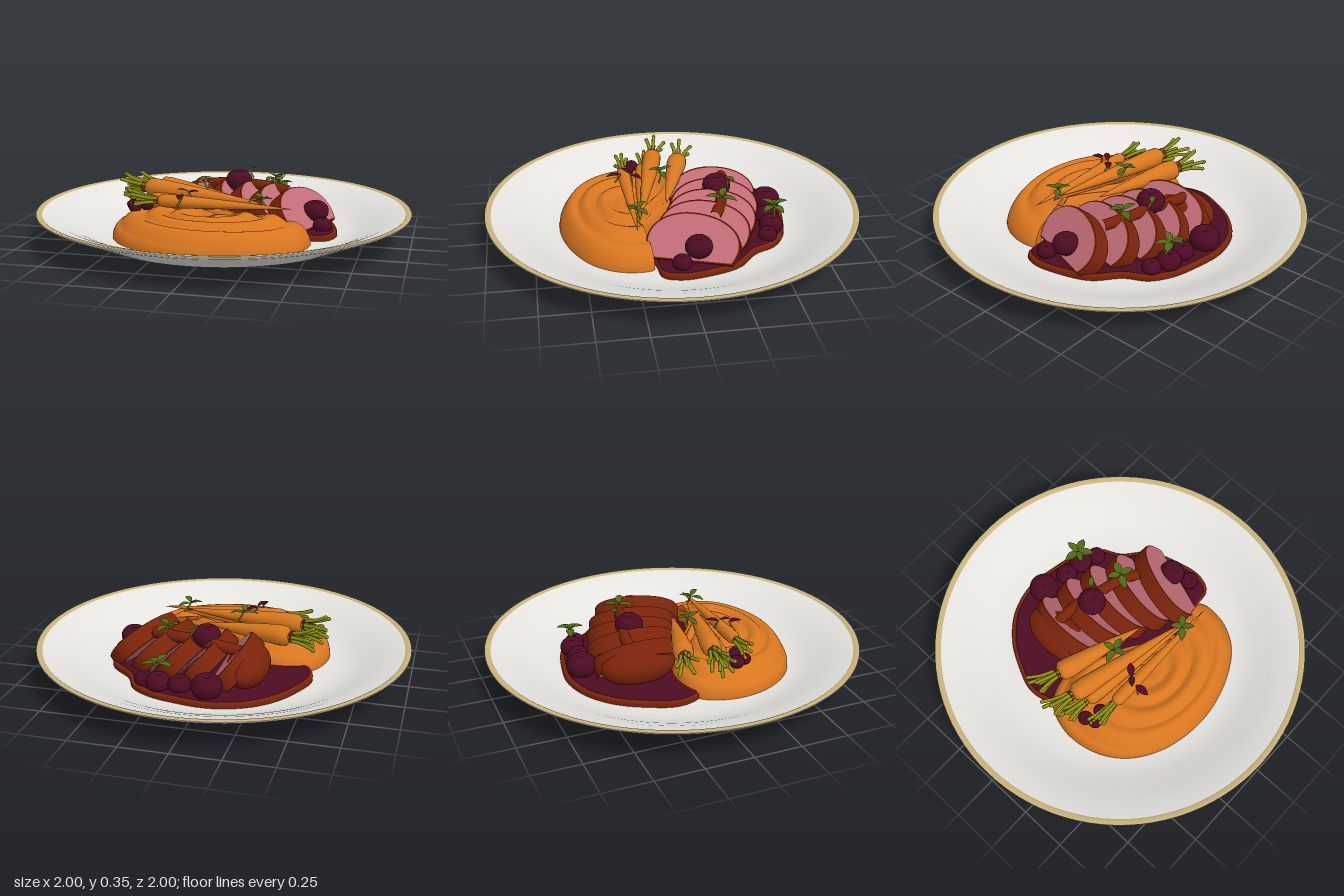
import * as THREE from 'three';

const mat = (name, color, side = THREE.FrontSide) => {
  const m = new THREE.MeshStandardMaterial({ color, side });
  m.name = name;
  return m;
};
const M = {
  china: mat('china white', 0xe6e4e1),
  gold: mat('rim gold', 0xc9b47c),
  puree: mat('puree orange', 0xd97620),
  carrot: mat('carrot orange', 0xd8781f),
  crust: mat('crust brown', 0x7a230a),
  pink: mat('meat pink', 0xc46e78),
  wine: mat('wine red', 0x4c0b22, THREE.DoubleSide),
  leaf: mat('leaf green', 0x4f6a17, THREE.DoubleSide),
  stalk: mat('stalk olive', 0x8f9013),
};
const UP = new THREE.Vector3(0, 1, 0);
const V = (x, y, z) => new THREE.Vector3(x, y, z);

function add(parent, name, geometry, material, x = 0, y = 0, z = 0) {
  const mesh = new THREE.Mesh(geometry, material);
  mesh.name = name;
  mesh.position.set(x, y, z);
  parent.add(mesh);
  return mesh;
}
const lathe = (pts, sides) =>
  new THREE.LatheGeometry(pts.map(([x, y]) => new THREE.Vector2(x, y)), sides);
const loop = (pts) =>
  new THREE.CatmullRomCurve3(pts.map(([x, z]) => V(x, 0, z)), true).getSpacedPoints(120);

// Soft mound: rings shrink from the outline to the centre, with swirled ridges
function moundGeometry(outline, cx, cz, base, height) {
  const edge = loop(outline), n = edge.length, rings = 44, pos = [], idx = [];
  for (let i = 0; i <= rings; i++) {
    const p = Math.sin((i / rings) * Math.PI / 2);
    for (let j = 0; j < n; j++) {
      const turn = (j / (n - 1)) * Math.PI * 2;
      const ridge = Math.abs(Math.sin(p * 12 + turn / 2)) * 0.03 * Math.min(1, p * 3);
      const dome = Math.sqrt(Math.max(0, 1 - p ** 5));
      pos.push(cx + (edge[j].x - cx) * p, base + (height + ridge) * dome, cz + (edge[j].z - cz) * p);
      if (i < rings && j < n - 1) {
        const a = i * n + j;
        idx.push(a, a + 1, a + n, a + 1, a + n + 1, a + n);
      }
    }
  }
  const g = new THREE.BufferGeometry();
  g.setAttribute('position', new THREE.Float32BufferAttribute(pos, 3));
  g.setIndex(idx);
  g.computeVertexNormals();
  return g;
}

// Flat pool with a rounded edge
function poolGeometry(outline, grow, depth) {
  const pts = loop(outline).map((p) => new THREE.Vector2(p.x * grow, -p.z * grow));
  const g = new THREE.ExtrudeGeometry(new THREE.Shape(pts), {
    depth, bevelSize: 0.012, bevelThickness: 0.012, bevelOffset: -0.012, bevelSegments: 3,
  });
  return g.rotateX(-Math.PI / 2);
}

// Leaning slice: pink cut faces, brown skin
function sliceGeometry(h, thick, lean) {
  const s = new THREE.Shape();
  s.moveTo(-0.2, 0);
  s.bezierCurveTo(-0.28, 0.1, -0.2, h, -0.02, h);
  s.bezierCurveTo(0.16, h, 0.29, 0.13, 0.2, 0);
  const g = new THREE.ExtrudeGeometry(s, {
    depth: thick, curveSegments: 18, bevelSize: 0.01, bevelThickness: 0.01, bevelSegments: 2,
  });
  return g.rotateY(Math.PI / 2).rotateZ(lean);
}

function cherry(parent, x, y, z, r) {
  const pts = [];
  for (let i = 0; i <= 20; i++) {
    const t = Math.PI * (1 - i / 20), w = Math.sin(t);
    const dimple = t < Math.PI / 2 ? 0.3 * Math.exp(-((w / 0.28) ** 2)) : 0;
    pts.push([Math.max(0, w * r), r * (Math.cos(t) * 0.85 - dimple)]);
  }
  return add(parent, 'cherry', lathe(pts, 24), M.wine, x, y, z);
}

// Carrot from crown to tip, with a bunch of cut stalks
function carrot(parent, from, to, r) {
  const g = new THREE.Group();
  g.name = 'carrot';
  const L = from.distanceTo(to);
  add(g, 'carrotRoot', lathe([[0, 0], [0.6 * r, 0.005], [0.95 * r, 0.04 * L], [r, 0.12 * L], [0.82 * r, 0.35 * L],
    [0.5 * r, 0.65 * L], [0.2 * r, 0.88 * L], [0, L]], 16), M.carrot);
  add(g, 'carrotCrown', new THREE.CylinderGeometry(0.4 * r, 0.62 * r, 0.02, 12), M.crust, 0, -0.005, 0);
  for (let i = 0; i < 6; i++) {
    const a = i * 2.4, s = i ? 0.35 * r : 0, len = 0.11 + 0.02 * (i % 3);
    const tip = V(Math.cos(a) * s * 3, -len, Math.sin(a) * s * 3);
    const path = new THREE.CatmullRomCurve3([V(Math.cos(a) * s, 0, Math.sin(a) * s), tip.clone().multiplyScalar(0.6), tip]);
    add(g, 'carrotStalk', new THREE.TubeGeometry(path, 6, 0.010, 6), M.stalk);
    add(g, 'stalkEnd', new THREE.SphereGeometry(0.0115, 6, 5), M.stalk, tip.x, tip.y, tip.z);
  }
  g.position.copy(from);
  g.quaternion.setFromUnitVectors(UP, to.clone().sub(from).normalize());
  parent.add(g);
}

// Pointed leaf along +x, cupped along its length
function leafGeometry(len) {
  const s = new THREE.Shape();
  s.moveTo(0, 0);
  s.bezierCurveTo(len * 0.3, len * 0.38, len * 0.7, len * 0.32, len, 0);
  s.bezierCurveTo(len * 0.7, -len * 0.32, len * 0.3, -len * 0.38, 0, 0);
  const g = new THREE.ShapeGeometry(s, 8).rotateX(-Math.PI / 2), p = g.attributes.position;
  for (let i = 0; i < p.count; i++) p.setY(i, Math.abs(p.getZ(i)) * 0.45 - 0.2 * p.getX(i) ** 2 / len);
  g.computeVertexNormals();
  return g;
}
function sprig(parent, x, y, z, turn, leaves, material, len = 0.085) {
  const g = new THREE.Group();
  g.name = 'herbSprig';
  for (let i = 0; i < leaves; i++) {
    const m = add(g, 'herbLeaf', leafGeometry(len * (1 - 0.12 * (i % 2))), material, 0, 0.008 * (i % 2), 0);
    m.rotation.set(0, (i * Math.PI * 2) / leaves, 0.15 + 0.3 * (i % 2));
  }
  const path = new THREE.CatmullRomCurve3([V(0.03, -0.05, 0.02), V(0.01, -0.01, 0), V(0, 0.012, 0)]);
  add(g, 'herbStem', new THREE.TubeGeometry(path, 6, 0.005, 5), M.stalk);
  g.position.set(x, y, z);
  g.rotation.y = turn;
  parent.add(g);
}

export function createModel() {
  const model = new THREE.Group();
  model.name = 'platedDish';

  // Plate
  add(model, 'plateUnderside', lathe([[0, 0], [0.57, 0], [0.575, 0.002], [0.69, 0.035], [0.72, 0.045], [0.985, 0.16], [1, 0.17], [1, 0.176]], 96), M.china);
  add(model, 'plateRim', lathe([[1, 0.176], [0.995, 0.18], [0.975, 0.178], [0.968, 0.173]], 96), M.gold);
  add(model, 'plateBowl', lathe([[0.968, 0.173], [0.9, 0.155], [0.82, 0.122], [0.74, 0.082], [0.67, 0.06], [0.6, 0.051], [0.5, 0.05], [0, 0.05]], 96), M.china);

  // Sauce pool with a thin brown border
  const pool = [[-0.51, -0.18], [-0.46, -0.32], [-0.38, -0.45], [-0.25, -0.56], [-0.08, -0.61], [0.1, -0.59], [0.25, -0.55], [0.35, -0.48],
    [0.41, -0.37], [0.53, -0.26], [0.59, -0.1], [0.61, 0.04], [0.57, 0.13], [0.45, 0.15], [0.3, 0.22], [0, 0.2], [-0.3, 0.1], [-0.48, -0.06]];
  add(model, 'sauceBorder', poolGeometry(pool, 1.01, 0.018), M.crust, 0, 0.05, 0);
  add(model, 'saucePool', poolGeometry(pool, 0.975, 0.026), M.wine, 0, 0.05, 0);

  // Puree
  const mound = [[0.49, 0.16], [0.5, 0.3], [0.42, 0.45], [0.24, 0.56], [0, 0.61], [-0.25, 0.57], [-0.43, 0.46],
    [-0.53, 0.3], [-0.55, 0.1], [-0.47, -0.06], [-0.25, -0.1], [0, 0.03], [0.2, 0.16], [0.36, 0.21]];
  add(model, 'puree', moundGeometry(mound, -0.04, 0.25, 0.05, 0.125), M.puree);

  // Sliced meat: fanned slices and a rounded end piece
  [[-0.1, -0.24, 0], [0.05, -0.22, -0.08], [0.18, -0.18, -0.16], [0.31, -0.12, -0.25], [0.445, -0.04, -0.34]].forEach(([x, z, yaw]) => {
    add(model, 'meatSlice', sliceGeometry(0.235, 0.075, 0.7), [M.pink, M.crust], x, 0.045, z).rotation.y = yaw;
  });
  const end = add(model, 'meatEnd', new THREE.SphereGeometry(1, 28, 18), M.crust, -0.2, 0.15, -0.27);
  end.scale.set(0.11, 0.1, 0.2);
  // Glaze across the slices
  const glaze = new THREE.CatmullRomCurve3([V(-0.2, 0.23, -0.3), V(-0.05, 0.25, -0.29), V(0.1, 0.255, -0.25), V(0.22, 0.25, -0.22), V(0.33, 0.24, -0.17)]);
  add(model, 'glaze', new THREE.TubeGeometry(glaze, 24, 0.03, 10), M.crust);

  // Cherries and small berries
  [[-0.05, 0.13, -0.53, 0.08], [0.1, 0.11, -0.5, 0.06], [0.21, 0.11, -0.5, 0.065], [0.3, 0.1, -0.46, 0.05],
    [0.03, 0.275, -0.235, 0.075], [0.49, 0.165, -0.06, 0.07], [0.54, 0.11, 0.03, 0.05],
    [-0.45, 0.2, 0.17, 0.038], [-0.43, 0.2, 0.22, 0.035], [-0.37, 0.21, 0.2, 0.035]].forEach((c) => cherry(model, ...c));

  // Carrots
  carrot(model, V(-0.38, 0.255, -0.09), V(0.12, 0.23, 0.05), 0.055);
  carrot(model, V(-0.42, 0.275, 0.05), V(0.27, 0.245, 0.2), 0.052);
  carrot(model, V(-0.3, 0.245, 0.235), V(0.42, 0.235, 0.235), 0.036);
  carrot(model, V(-0.38, 0.215, 0.11), V(0.3, 0.23, 0.21), 0.045);

  // Herbs
  sprig(model, 0.21, 0.215, -0.51, 0.4, 5, M.leaf);
  sprig(model, 0.24, 0.3, -0.22, 1.1, 4, M.leaf);
  sprig(model, -0.1, 0.31, 0.05, 0.2, 4, M.leaf, 0.075);
  sprig(model, 0.25, 0.27, 0.22, 0.7, 4, M.leaf, 0.075);
  sprig(model, 0.07, 0.335, -0.28, 0.6, 1, M.leaf, 0.06);
  sprig(model, -0.14, 0.285, 0.21, 0.8, 2, M.wine, 0.075);
  sprig(model, -0.16, 0.28, 0.26, -1.5, 1, M.wine, 0.08);
  return model;
}
